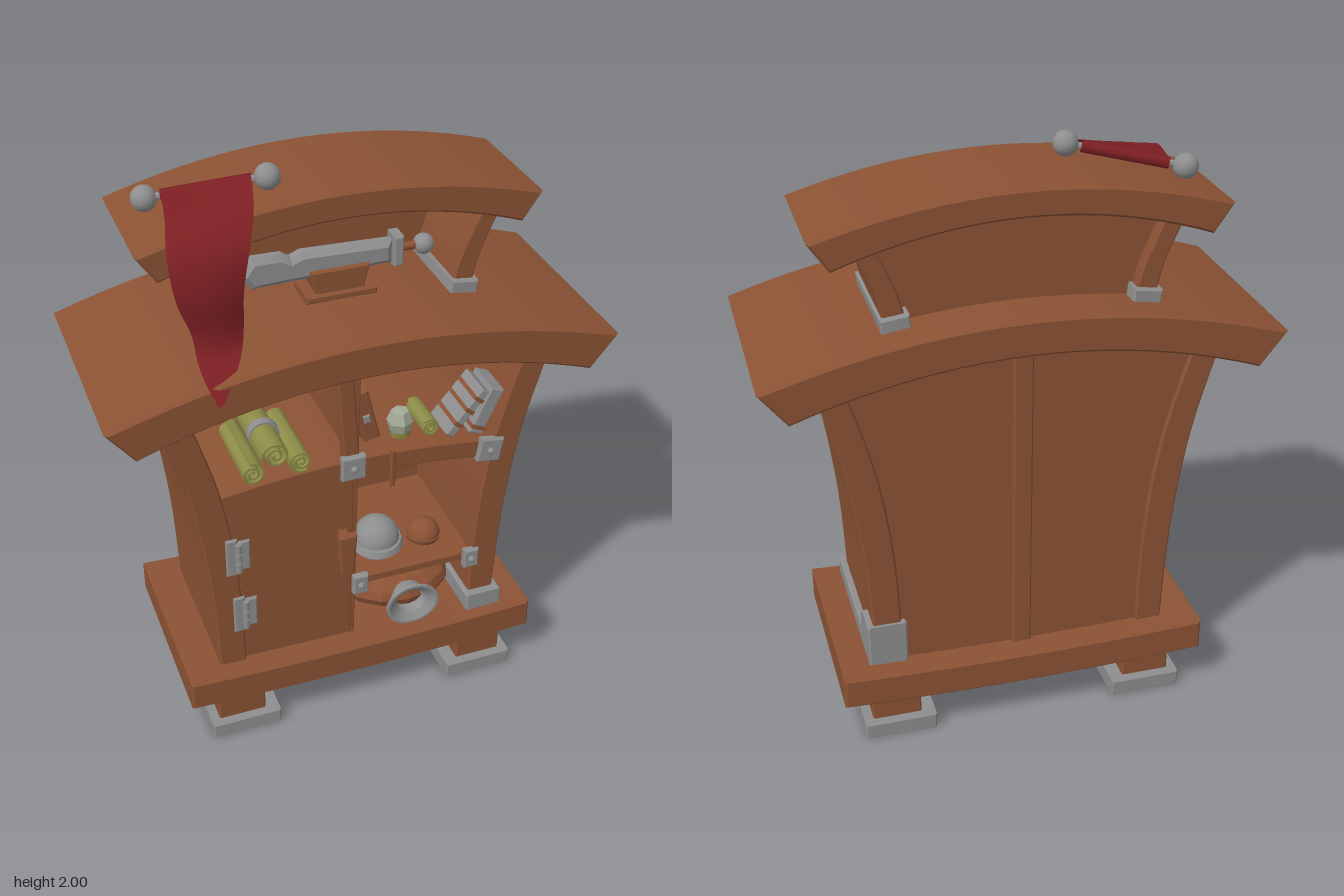
import * as THREE from 'three';
import { toCreasedNormals } from 'three/addons/utils/BufferGeometryUtils.js';

const mat = (name, color) => Object.assign(new THREE.MeshStandardMaterial({ color }), { name });

export function createModel() {
  const root = new THREE.Group();
  root.name = 'cabinet';
  const wood = mat('wood', 0x8b5234), metal = mat('metal', 0x8e8e8e), green = mat('parchment', 0x8c8b47);
  const red = mat('cloth', 0x7c1f23), pale = mat('pale glass', 0xa3ab97);
  red.side = THREE.DoubleSide;

  const add = (name, geo, m, x = 0, y = 0, z = 0, rz = 0) => {
    const mesh = new THREE.Mesh(geo, m);
    mesh.name = name;
    mesh.position.set(x, y, z);
    mesh.rotation.z = rz;
    root.add(mesh);
    return mesh;
  };
  const curve = (pts, n = 14) =>
    new THREE.SplineCurve(pts.map(p => new THREE.Vector2(...p))).getPoints(n).map(p => [p.x, p.y]);
  const flip = pts => pts.map(([x, y]) => [-x, y]);
  // outline in x/y, extruded from z0 to z1 with a small bevel inside the outline
  const prismGeo = (pts, z0, z1, b = 0.006) => {
    const g = new THREE.ExtrudeGeometry(new THREE.Shape(pts.map(p => new THREE.Vector2(...p))), {
      depth: z1 - z0 - 2 * b, bevelEnabled: b > 0, bevelThickness: b, bevelSize: b, bevelOffset: -b, bevelSegments: 1,
    });
    g.translate(0, 0, z0 + b);
    return toCreasedNormals(g, 0.5);
  };
  const prism = (name, pts, z0, z1, m, b) => add(name, prismGeo(pts, z0, z1, b), m);
  const blockGeo = (w, h, d, b = 0.005) =>
    prismGeo([[-w / 2, -h / 2], [w / 2, -h / 2], [w / 2, h / 2], [-w / 2, h / 2]], -d / 2, d / 2, b);
  const block = (name, w, h, d, m, x, y, z, rz = 0) => add(name, blockGeo(w, h, d), m, x, y, z, rz);
  // beam bowed between a top and a bottom parabola
  const arch = (name, [xt, yt, ct], [xb, yb, cb], z0, z1, b) => {
    const arc = (hx, y, c) => Array.from({ length: 21 }, (_, i) => {
      const t = i / 10 - 1;
      return [t * hx, c + (y - c) * t * t];
    });
    return prism(name, [...arc(xb, yb, cb), ...arc(xt, yt, ct).reverse()], z0, z1, wood, b);
  };

  // feet and base
  for (const s of [-1, 1]) for (const [z, d] of [[0.2, 0.24], [-0.26, 0.2]]) {
    block('footPad', 0.25, 0.06, d, metal, s * 0.447, 0.03, z);
    block('leg', 0.17, 0.13, d - 0.06, wood, s * 0.455, 0.115, z);
  }
  arch('base', [0.64, 0.28, 0.266], [0.64, 0.165, 0.15], -0.38, 0.32, 0.008);

  // roofs
  arch('mainRoof', [0.85, 1.4, 1.54], [0.76, 1.285, 1.42], -0.41, 0.36, 0.008);
  arch('upperRoof', [0.665, 1.825, 1.93], [0.6, 1.73, 1.84], -0.335, 0.11, 0.008);

  // curved side walls
  const inner = [[0.42, 0.265], [0.43, 0.6], [0.46, 0.88], [0.505, 1.1], [0.585, 1.365]];
  const outer = [[0.515, 0.265], [0.53, 0.6], [0.562, 0.88], [0.605, 1.1], [0.68, 1.365]];
  const wall = [...curve(inner), ...curve(outer).reverse()];
  const upperWall = [...curve([[0.36, 1.49], [0.395, 1.63], [0.465, 1.79]], 8),
    ...curve([[0.435, 1.49], [0.465, 1.63], [0.535, 1.79]], 8).reverse()];
  for (const f of [p => p, flip]) {
    prism('sideWall', f(wall), -0.3, 0.25, wood);
    prism('upperSideWall', f(upperWall), -0.28, 0.09, wood);
  }
  for (const s of [-1, 1]) block('upperWallCuff', 0.095, 0.055, 0.41, metal, s * 0.405, 1.523, -0.095, -s * 0.13);

  // back panels, strut and divider
  const mid = curve(inner.map(([x, y]) => [x + 0.02, y]));
  prism('backPanel', [...mid, [0.3, 1.42], [0, 1.45], [-0.3, 1.42], ...flip(mid).reverse()], -0.285, -0.255, wood, 0);
  block('backStrut', 0.065, 1.17, 0.03, wood, 0, 0.85, -0.287);
  prism('upperBackPanel', [[-0.4, 1.49], [0.4, 1.49], [0.48, 1.79], [0, 1.87], [-0.48, 1.79]], -0.235, -0.205, wood, 0);
  prism('divider', [[-0.035, 0.26], [-0.015, 0.26], [0.003, 1.44], [-0.03, 1.44]], -0.26, 0.235, wood, 0.003);
  prism('dividerPost', [[-0.055, 1], [0, 1], [-0.03, 1.44], [-0.088, 1.44]], 0.2, 0.245, wood);

  // shelves
  arch('upperShelf', [0.485, 0.995, 1.035], [0.47, 0.925, 0.965], -0.26, 0.245);
  block('lowerShelf', 0.45, 0.035, 0.49, wood, 0.205, 0.5, -0.005);
  for (const [x, y, r] of [[-0.03, 1.01, 0], [0.465, 0.965, -0.15], [0, 0.5, 0], [0.42, 0.5, 0]]) {
    const s = y > 0.7 ? 1 : 0.65;
    block('shelfClasp', 0.085 * Math.max(s, 0.6), 0.09 * Math.max(s, 0.85), 0.03, metal, x, y, 0.25, r);
    add('claspStud', new THREE.SphereGeometry(0.013, 10, 6), metal, x, y, 0.266);
  }

  // door with handle and hinges
  prism('door', [...curve([[-0.425, 0.275], [-0.432, 0.6], [-0.475, 0.95]], 8), [-0.022, 0.98], [-0.03, 0.268]].reverse(),
    0.205, 0.24, wood, 0.004);
  prism('doorHandle', [[-0.09, 0.61], [-0.043, 0.61], [-0.033, 0.77], [-0.1, 0.77]], 0.283, 0.312, wood);
  for (const y of [0.64, 0.735]) block('handlePeg', 0.03, 0.03, 0.06, wood, -0.066, y, 0.262);
  for (const [x, y] of [[-0.435, 0.745], [-0.418, 0.492]]) {
    block('hingeLeafOuter', 0.04, 0.15, 0.015, metal, x - 0.022, y, 0.252);
    block('hingeLeafInner', 0.04, 0.12, 0.015, metal, x + 0.022, y, 0.248);
    for (const dy of [-0.04, 0, 0.04])
      add('hingeKnuckle', new THREE.CylinderGeometry(0.011, 0.011, 0.036, 8), metal, x, y + dy, 0.262);
  }

  // metal shoe under the left wall, rising at the rear
  const shoe = prismGeo([[-0.28, 0.262], [0.31, 0.262], [0.31, 0.43], [0.2, 0.43], [0.175, 0.41], [0.15, 0.34], [-0.28, 0.34]], 0.405, 0.54);
  add('wallShoe', shoe.rotateY(Math.PI / 2), metal);

  // rolled scrolls
  const spiral = (r, t, turns, a0) => {
    const side = off => Array.from({ length: 37 }, (_, i) => {
      const k = i / 36, a = a0 + k * turns * Math.PI * 2, q = 0.01 + (r - 0.01) * k - off;
      return [q * Math.cos(a), q * Math.sin(a)];
    });
    return [...side(0), ...side(t).reverse()];
  };
  for (const [x, y, r, a] of [[-0.37, 1.055, 0.045, 0.5], [-0.29, 1.108, 0.052, 2.2], [-0.205, 1.066, 0.045, 4], [0.265, 1.062, 0.036, 1]])
    add('scroll', prismGeo(spiral(r, 0.007, 2.2, a), x > 0 ? 0.05 : -0.04, x > 0 ? 0.2 : 0.24, 0), green, x, y, 0);
  add('scrollBand', new THREE.CylinderGeometry(0.054, 0.054, 0.03, 16), metal, -0.29, 1.108, 0.1).rotation.x = Math.PI / 2;

  // books, jar and strap on the upper shelf
  block('leaningBook', 0.06, 0.2, 0.13, wood, 0.048, 1.135, 0.1, 0.24);
  block('bookClasp', 0.025, 0.03, 0.008, metal, 0.05, 1.13, 0.167, 0.24);
  block('strap', 0.02, 0.15, 0.012, wood, 0.112, 0.97, 0.25);
  for (const [x, y, w, h, r] of [[0.385, 1.115, 0.034, 0.2, -0.69], [0.455, 1.108, 0.052, 0.18, -0.42]]) {
    block('metalBook', w, h, 0.14, metal, x, y, 0.165, r);
    for (const d of w < 0.04 ? [-0.05, 0.01, 0.06] : [-0.065])
      add('bookBand', new THREE.BoxGeometry(w + 0.003, 0.014, 0.143), wood, x - Math.sin(r) * d, y + Math.cos(r) * d, 0.165, r);
  }
  const jar = new THREE.LatheGeometry([[0, 0], [0.032, 0], [0.046, 0.05], [0.03, 0.09], [0, 0.095]].map(p => new THREE.Vector2(...p)), 6);
  add('jar', toCreasedNormals(jar, 0.2), pale, 0.175, 1.035, 0.15);
  add('jarFoot', new THREE.CylinderGeometry(0.037, 0.036, 0.02, 6), green, 0.175, 1.04, 0.15);

  // helmet and bowl on the lower shelf
  add('helmetDome', new THREE.SphereGeometry(0.082, 20, 10, 0, Math.PI * 2, 0, Math.PI / 2), metal, 0.115, 0.572, 0.11);
  const brim = add('helmetBrim', new THREE.CylinderGeometry(0.088, 0.097, 0.022, 20), metal, 0.115, 0.563, 0.11);
  brim.rotation.x = 0.1;
  add('helmetNeck', new THREE.CylinderGeometry(0.075, 0.07, 0.04, 16), metal, 0.115, 0.535, 0.11);
  add('bowl', new THREE.SphereGeometry(0.062, 16, 8, 0, Math.PI * 2, 0, Math.PI / 2), wood, 0.3, 0.53, 0.1);
  add('bowlRim', new THREE.CylinderGeometry(0.066, 0.06, 0.018, 16), wood, 0.3, 0.526, 0.1);

  // jug lying on its side with a flared metal mouth
  const jug = add('jug', new THREE.SphereGeometry(1, 12, 8).toNonIndexed(), wood, 0.2, 0.347, 0.08);
  jug.geometry.computeVertexNormals();
  jug.scale.set(0.205, 0.08, 0.15);
  const mouth = new THREE.LatheGeometry([[0, 0.02], [0.045, 0.02], [0.06, 0.06], [0.09, 0.08], [0.1, 0.08],
    [0.1, 0.07], [0.07, 0.045], [0.055, -0.02]].reverse().map(p => new THREE.Vector2(...p)), 20);
  const lip = add('jugMouth', toCreasedNormals(mouth, 0.5), metal, 0.2, 0.35, 0.185);
  lip.rotation.x = Math.PI / 2;
  lip.scale.z = 0.85;

  // sword on its stand
  block('swordStandFoot', 0.24, 0.025, 0.13, wood, 0, 1.55, 0.0);
  prism('swordStand', [[-0.08, 1.55], [0.08, 1.55], [0.1, 1.64], [-0.1, 1.64]], -0.05, 0.05, wood);
  prism('swordBlade', [[-0.325, 1.655], [-0.285, 1.6], [-0.25, 1.605], [0.185, 1.615], [0.185, 1.695], [-0.12, 1.705],
    [-0.155, 1.69], [-0.185, 1.708], [-0.285, 1.71]], -0.025, 0.035, metal, 0.018);
  block('swordGuard', 0.032, 0.105, 0.07, metal, 0.203, 1.658, 0.005);
  add('swordGrip', new THREE.CylinderGeometry(0.014, 0.014, 0.08, 10), wood, 0.25, 1.656, 0.005, Math.PI / 2);
  add('swordPommel', new THREE.SphereGeometry(0.035, 16, 10), metal, 0.3, 1.655, 0.005);

  // banner: rod with ball ends and cloth swept between two edge curves
  const V = p => new THREE.Vector3(...p);
  const a = V([-0.57, 1.89, -0.145]), b = V([-0.21, 1.958, -0.025]);
  add('bannerRod', new THREE.TubeGeometry(new THREE.LineCurve3(a, b), 1, 0.012, 8), metal);
  const p = t => a.clone().lerp(b, t);
  add('bannerSleeve', new THREE.TubeGeometry(new THREE.LineCurve3(p(0.14), p(0.87)), 1, 0.02, 10), red);
  for (const e of [a, b]) add('bannerBall', new THREE.SphereGeometry(0.042, 18, 12), metal, e.x, e.y, e.z);
  const left = new THREE.CatmullRomCurve3([[-0.52, 1.915, -0.13], [-0.555, 1.9, 0.06], [-0.583, 1.85, 0.17], [-0.575, 1.72, 0.215],
    [-0.535, 1.6, 0.22], [-0.53, 1.53, 0.25], [-0.53, 1.5, 0.33], [-0.512, 1.455, 0.41]].map(V));
  const right = new THREE.CatmullRomCurve3([[-0.26, 1.965, -0.03], [-0.29, 1.925, 0.09], [-0.335, 1.85, 0.19], [-0.368, 1.72, 0.22],
    [-0.37, 1.6, 0.21], [-0.382, 1.54, 0.23], [-0.42, 1.508, 0.3], [-0.495, 1.46, 0.405]].map(V));
  const cloth = new THREE.PlaneGeometry(1, 1, 8, 28), pos = cloth.attributes.position;
  for (let i = 0; i < pos.count; i++) {
    const u = pos.getX(i) + 0.5, v = 0.5 - pos.getY(i);
    const q = left.getPoint(v).lerp(right.getPoint(v), u);
    pos.setXYZ(i, q.x, q.y, q.z + 0.012 * Math.sin(u * Math.PI) * Math.sin(v * Math.PI));
  }
  cloth.computeVertexNormals();
  add('bannerCloth', cloth, red);

  return root;
}
